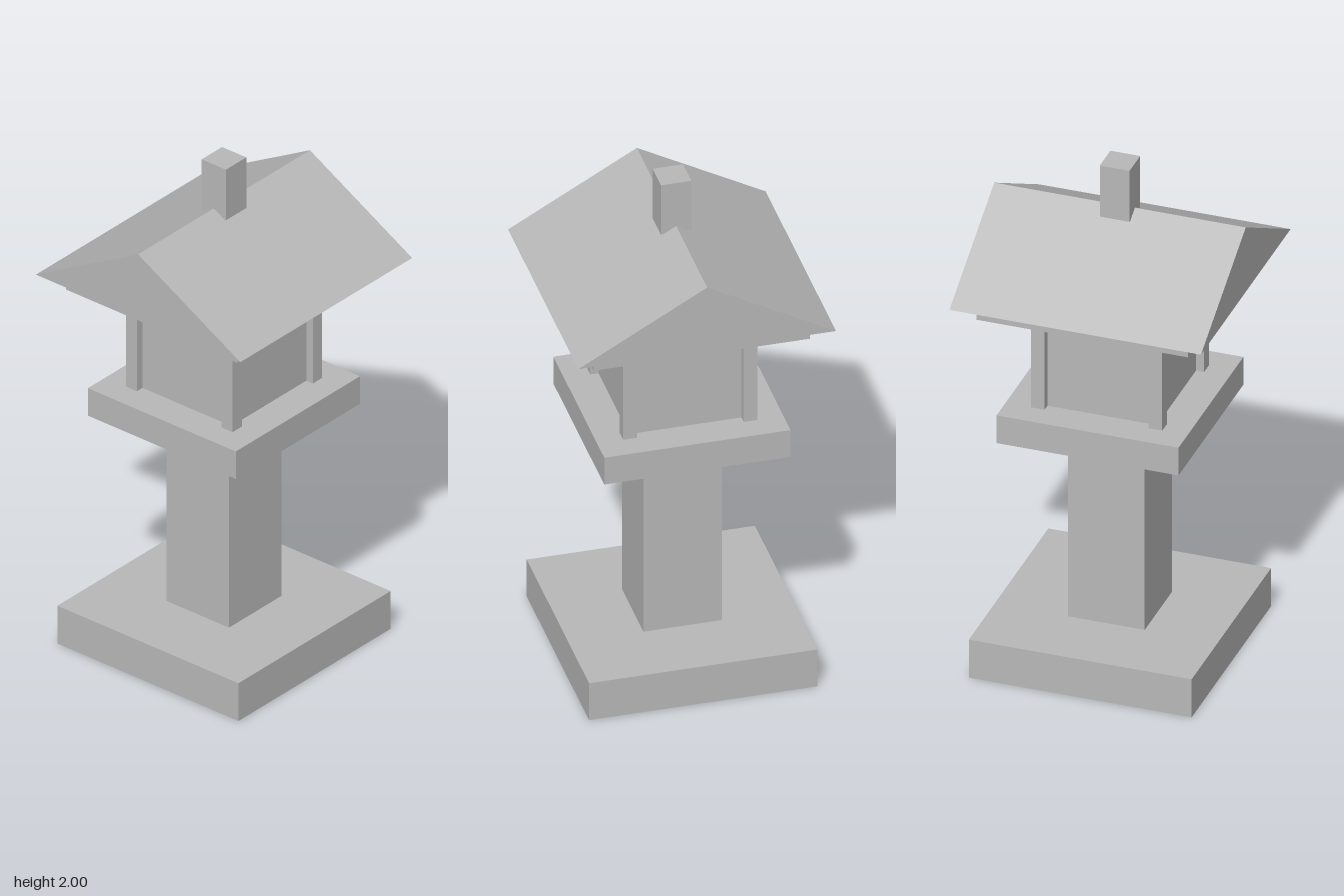
import * as THREE from 'three';

export function createModel() {
  const model = new THREE.Group();
  model.name = 'stoneLantern';
  const stone = new THREE.MeshStandardMaterial({ color: 0xb8b8b8 });
  stone.name = 'grey stone';

  // Square block standing between two heights
  function block(name, half, y0, y1, x = 0, z = 0) {
    const mesh = new THREE.Mesh(new THREE.BoxGeometry(half * 2, y1 - y0, half * 2), stone);
    mesh.name = name;
    mesh.position.set(x, (y0 + y1) / 2, z);
    model.add(mesh);
  }

  block('base', 0.426, 0, 0.158);
  block('pillar', 0.147, 0.158, 0.93);
  block('platform', 0.348, 0.948, 1.063);
  block('lanternBody', 0.22, 1.063, 1.458);

  // Corner posts around the body
  for (const x of [-1, 1]) {
    for (const z of [-1, 1]) {
      block('cornerPost', 0.026, 1.063, 1.458, x * 0.225, z * 0.225);
    }
  }

  block('eaveSlab', 0.404, 1.48, 1.548);

  // Gabled roof with its ridge running front to back
  const gable = new THREE.Shape([
    new THREE.Vector2(-0.481, 1.548),
    new THREE.Vector2(0.481, 1.548),
    new THREE.Vector2(0, 1.816),
  ]);
  const roofGeometry = new THREE.ExtrudeGeometry(gable, { depth: 0.962, bevelEnabled: false });
  roofGeometry.translate(0, 0, -0.481);
  const roof = new THREE.Mesh(roofGeometry, stone);
  roof.name = 'roof';
  model.add(roof);

  block('finial', 0.057, 1.788, 2);

  return model;
}
